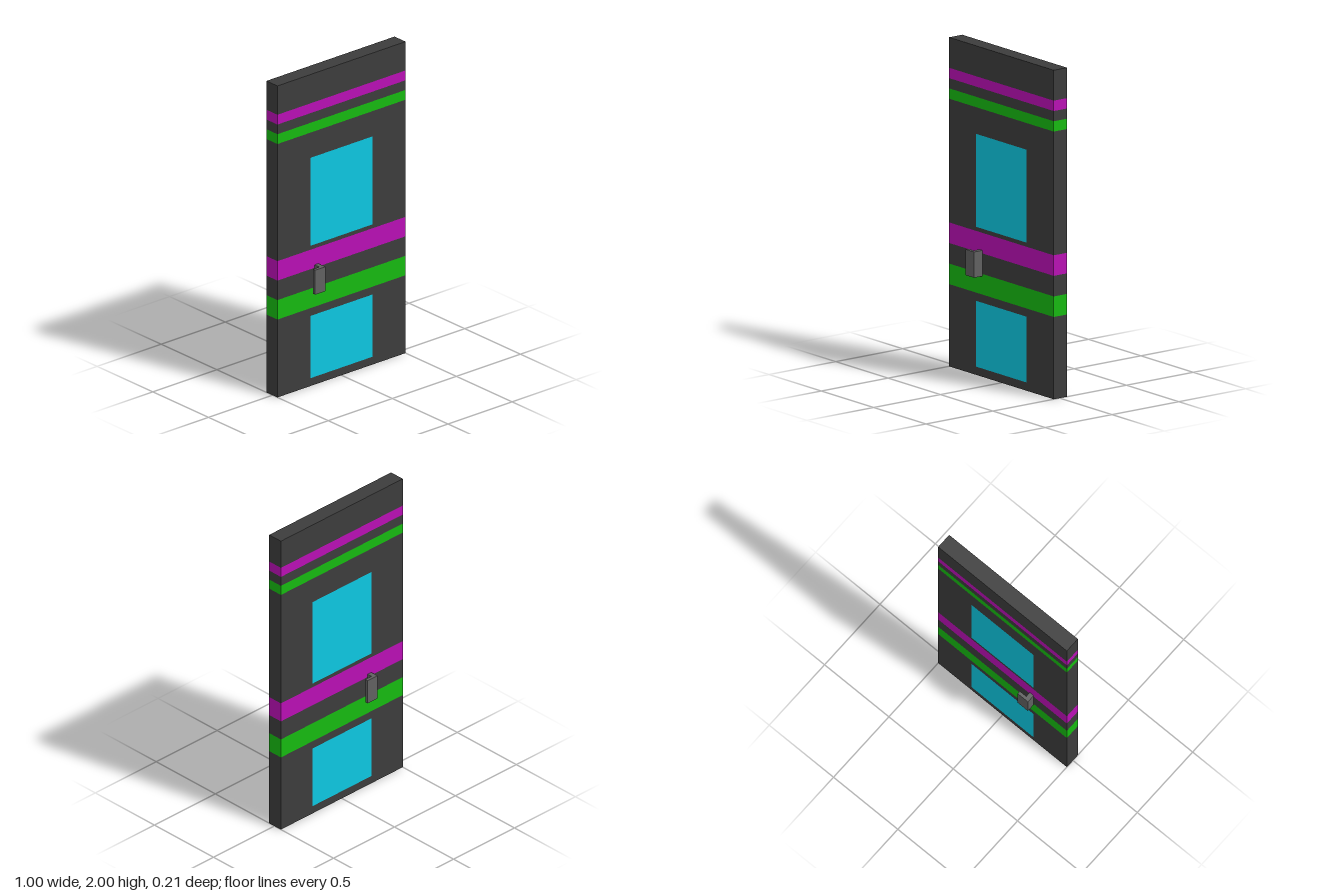
import * as THREE from 'three';

const HALF_W = 0.5, Z_BACK = -0.055, Z_FRONT = 0.044;

const paint = (color) => new THREE.MeshStandardMaterial({ color });
const DARK = paint(0x3c3c3c), GREEN = paint(0x16b910), PURPLE = paint(0xb80fb4);
const GLASS = paint(0x0dc6e0), METAL = paint(0x606060);

function rect(Type, x, y0, y1) {
  return new Type([[-x, y0], [x, y0], [x, y1], [-x, y1]].map(([a, b]) => new THREE.Vector2(a, b)));
}

// Upright slice of the door, optionally with a window opening
function slab(name, material, halfWidth, y0, y1, hole) {
  const shape = rect(THREE.Shape, halfWidth, y0, y1);
  if (hole) shape.holes.push(rect(THREE.Path, ...hole));
  const geometry = new THREE.ExtrudeGeometry(shape, { depth: Z_FRONT - Z_BACK, bevelEnabled: false });
  geometry.translate(0, 0, Z_BACK);
  const mesh = new THREE.Mesh(geometry, material);
  mesh.name = name;
  return mesh;
}

// L-shaped pull, drawn as an x-z outline and extruded upward
function handle(name, outline) {
  const shape = new THREE.Shape(outline.map(([x, z]) => new THREE.Vector2(x, -z)));
  const geometry = new THREE.ExtrudeGeometry(shape, { depth: 0.157, bevelEnabled: false });
  geometry.rotateX(-Math.PI / 2).translate(0, 0.612, 0);
  const mesh = new THREE.Mesh(geometry, METAL);
  mesh.name = name;
  return mesh;
}

export function createModel() {
  const door = new THREE.Group();
  door.name = 'door';

  const lowerWindow = [0.242, 0.05, 0.45];
  const upperWindow = [0.242, 0.9, 1.465];

  // Stacked panels and coloured stripes, from the floor up
  const slices = [
    ['lowerPanel', DARK, 0, 0.5, lowerWindow],
    ['lowerGreenStripe', GREEN, 0.5, 0.625],
    ['handlePanel', DARK, 0.625, 0.75],
    ['lowerPurpleStripe', PURPLE, 0.75, 0.875],
    ['upperPanel', DARK, 0.875, 1.627, upperWindow],
    ['upperGreenStripe', GREEN, 1.627, 1.69],
    ['stripeGap', DARK, 1.69, 1.752],
    ['upperPurpleStripe', PURPLE, 1.752, 1.815],
    ['topPanel', DARK, 1.815, 2],
  ];
  for (const [name, material, y0, y1, hole] of slices) {
    door.add(slab(name, material, HALF_W, y0, y1, hole));
  }

  // Flush window panes
  door.add(slab('lowerPane', GLASS, ...lowerWindow));
  door.add(slab('upperPane', GLASS, ...upperWindow));

  // Handles on both faces, turned opposite ways
  door.add(handle('frontHandle', [
    [-0.18, Z_FRONT], [-0.18, 0.107], [-0.26, 0.107], [-0.26, 0.087], [-0.21, 0.087], [-0.21, Z_FRONT],
  ]));
  door.add(handle('backHandle', [
    [-0.242, Z_BACK], [-0.242, -0.107], [-0.162, -0.107], [-0.162, -0.087], [-0.212, -0.087], [-0.212, Z_BACK],
  ]));

  return door;
}
